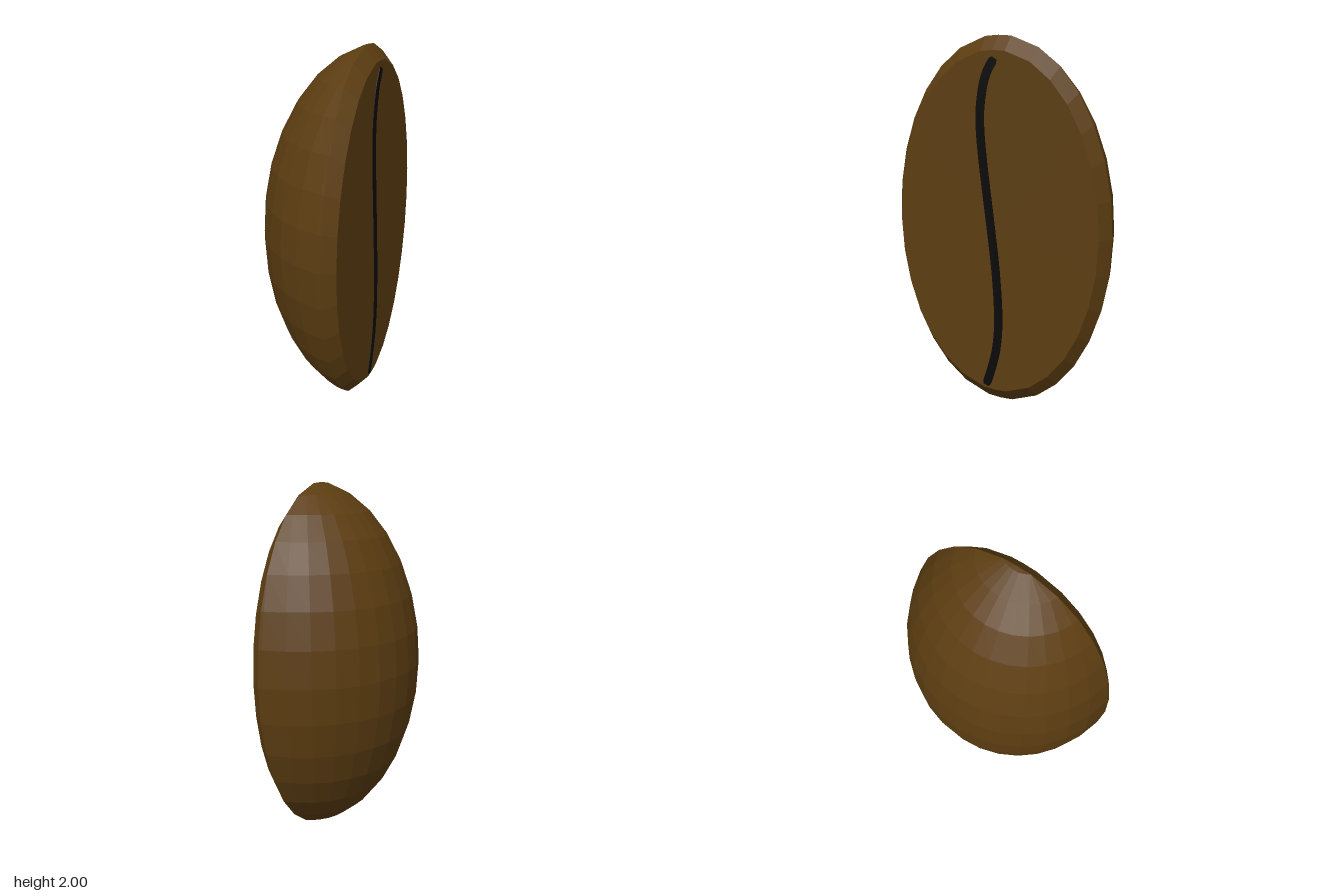
import * as THREE from 'three';

const CUT = 0.24;   // where the dome is cut and the bevel begins
const FACE = 0.305; // the flat face
const CENTRE = new THREE.Vector3(0.342, 1, 0);
const RADII = new THREE.Vector3(0.648, 1.015, 0.647);
const RINGS = 16;
const HALF_SEGMENTS = 8;

// Point on the ellipsoid, limited to the part behind the cut plane
function domePoint(i, j) {
  const theta = (Math.PI * i) / RINGS;
  const s = Math.sin(theta);
  const limit = Math.acos(Math.min(1, (CENTRE.x - CUT) / (RADII.x * s + 1e-9)));
  const phi = THREE.MathUtils.clamp((j * Math.PI) / 16, -limit, limit);
  return new THREE.Vector3(
    Math.min(CUT, CENTRE.x - RADII.x * s * Math.cos(phi)),
    THREE.MathUtils.clamp(CENTRE.y + RADII.y * Math.cos(theta), 0, 2),
    RADII.z * s * Math.sin(phi)
  );
}

// Collects triangles and quads, leaving out those without area
function facets() {
  const positions = [];
  const tri = (a, b, c) => {
    if (new THREE.Triangle(a, b, c).getArea() < 1e-7) return;
    for (const p of [a, b, c]) positions.push(p.x, p.y, p.z);
  };
  const quad = (a, b, c, d) => { tri(a, b, c); tri(a, c, d); };
  const build = () => {
    const geometry = new THREE.BufferGeometry();
    geometry.setAttribute('position', new THREE.Float32BufferAttribute(positions, 3));
    geometry.computeVertexNormals();
    return geometry;
  };
  return { tri, quad, build };
}

export function createModel() {
  const group = new THREE.Group();
  group.name = 'coffeeBean';
  const brown = new THREE.MeshStandardMaterial({ color: 0x5c3d11, flatShading: true });
  const black = new THREE.MeshStandardMaterial({ color: 0x0a0a0a });
  const add = (name, geometry, material) => {
    const mesh = new THREE.Mesh(geometry, material);
    mesh.name = name;
    group.add(mesh);
    return mesh;
  };

  // Rounded back
  const dome = facets();
  for (let i = 0; i < RINGS; i++) {
    for (let j = -HALF_SEGMENTS; j < HALF_SEGMENTS; j++) {
      dome.quad(domePoint(i, j), domePoint(i + 1, j), domePoint(i + 1, j + 1), domePoint(i, j + 1));
    }
  }
  add('roundedBack', dome.build(), brown);

  // Outline of the cut: down one side and up the other
  const outline = [];
  for (let i = 0; i < RINGS; i++) outline.push(domePoint(i, -HALF_SEGMENTS));
  for (let i = RINGS; i > 0; i--) outline.push(domePoint(i, HALF_SEGMENTS));
  const inner = outline.map((p) => new THREE.Vector3(FACE, 1 + (p.y - 1) * 0.924, p.z * 0.924));

  // Bevelled rim and flat face
  const rim = facets();
  const face = facets();
  const middle = new THREE.Vector3(FACE, 1, 0);
  outline.forEach((p, k) => {
    const n = (k + 1) % outline.length;
    rim.quad(p, inner[k], inner[n], outline[n]);
    face.tri(middle, inner[n], inner[k]);
  });
  add('bevelledRim', rim.build(), brown);
  add('flatFace', face.build(), brown);

  // S-shaped crease: a thin strip of even width along a curve
  const path = new THREE.SplineCurve([
    [0.01, 1.885], [-0.04, 1.8], [-0.068, 1.68], [-0.076, 1.55], [-0.06, 1.35], [-0.02, 1.03],
    [0.012, 0.75], [0.025, 0.5], [0.012, 0.33], [-0.02, 0.2], [-0.055, 0.095],
  ].map(([u, v]) => new THREE.Vector2(u, v)));
  const sides = [[], []];
  for (let k = 0; k <= 40; k++) {
    const p = path.getPoint(k / 40);
    const t = path.getTangent(k / 40);
    const w = k === 0 || k === 40 ? 0.016 : 0.025;
    sides[0].push(new THREE.Vector2(p.x - t.y * w, p.y + t.x * w));
    sides[1].unshift(new THREE.Vector2(p.x + t.y * w, p.y - t.x * w));
  }
  const strip = new THREE.ExtrudeGeometry(new THREE.Shape([...sides[0], ...sides[1]]), {
    depth: 0.02, bevelEnabled: false,
  });
  strip.rotateY(Math.PI / 2);
  add('crease', strip, black).position.x = FACE - 0.017;

  return group;
}
